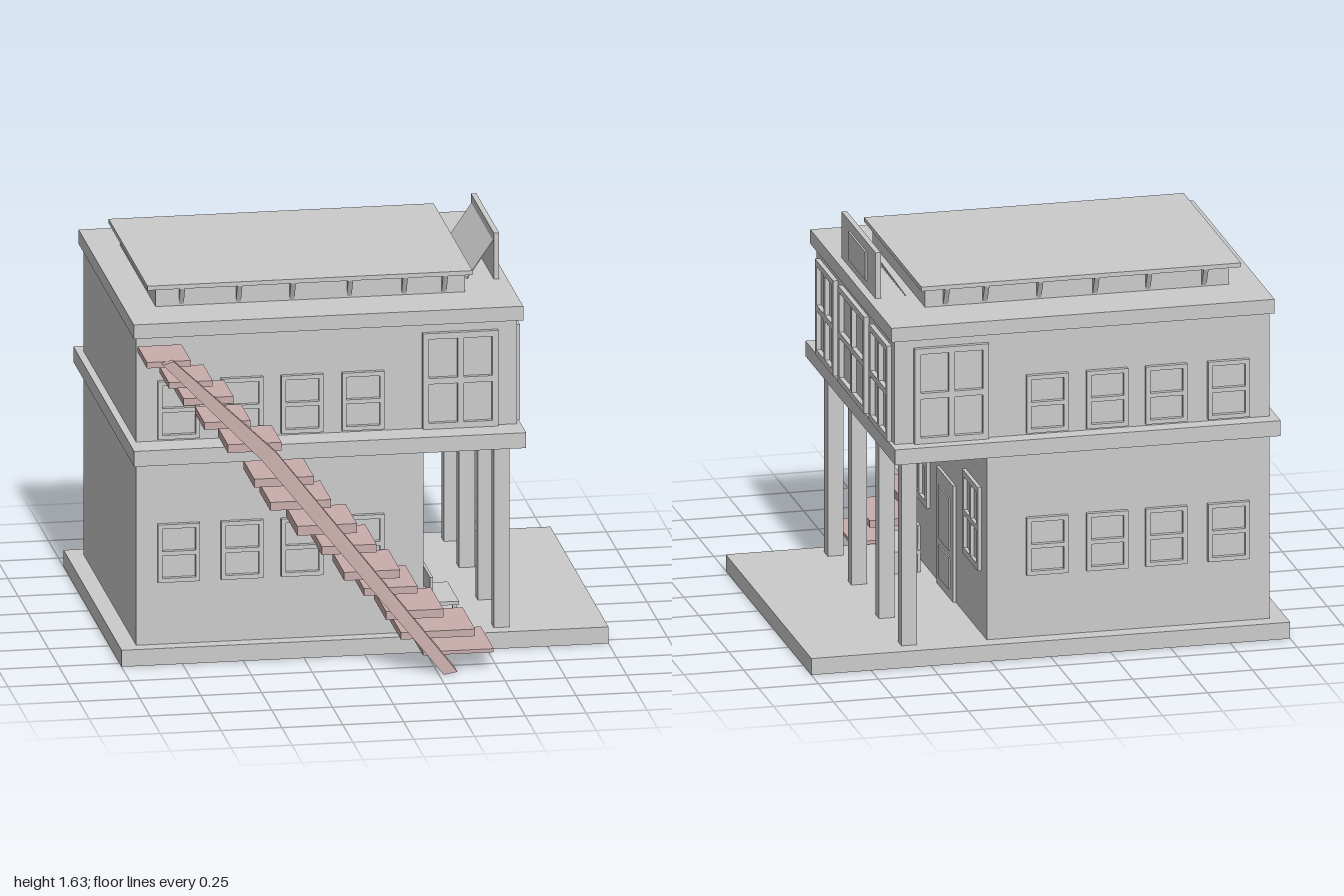
import * as THREE from 'three';

const grey = new THREE.MeshStandardMaterial({ color: 0xcccccc, flatShading: true });
const thin = new THREE.MeshStandardMaterial({ color: 0xcccccc, flatShading: true, side: THREE.DoubleSide });
const wood = new THREE.MeshStandardMaterial({ color: 0xc9aeac, flatShading: true });

// Box given by its extents on each axis
function box(parent, name, x0, x1, y0, y1, z0, z1, material = grey) {
  const mesh = new THREE.Mesh(new THREE.BoxGeometry(x1 - x0, y1 - y0, z1 - z0), material);
  mesh.position.set((x0 + x1) / 2, (y0 + y1) / 2, (z0 + z1) / 2);
  mesh.name = name;
  parent.add(mesh);
  return mesh;
}

function rect(path, x0, x1, y0, y1) {
  return path.moveTo(x0, y0).lineTo(x1, y0).lineTo(x1, y1).lineTo(x0, y1).closePath();
}

// Flat frame with a grid of openings, lower edge centred on the origin, facing +z
function frame(name, w, h, cols, rows, border = 0.025, bar = 0.025, depth = 0.02) {
  const shape = rect(new THREE.Shape(), -w / 2, w / 2, 0, h);
  const pw = (w - 2 * border - (cols - 1) * bar) / cols;
  const ph = (h - 2 * border - (rows - 1) * bar) / rows;
  for (let i = 0; i < cols; i++) {
    for (let j = 0; j < rows; j++) {
      const x = -w / 2 + border + i * (pw + bar), y = border + j * (ph + bar);
      shape.holes.push(rect(new THREE.Path(), x, x + pw, y, y + ph));
    }
  }
  const mesh = new THREE.Mesh(new THREE.ExtrudeGeometry(shape, { depth, bevelEnabled: false }), grey);
  mesh.name = name;
  return mesh;
}

// Loft a closed skin through four-cornered sections
function loft(sections) {
  const index = [];
  for (let s = 0; s < sections.length - 1; s++) {
    for (let k = 0; k < 4; k++) {
      const a = s * 4 + k, b = s * 4 + (k + 1) % 4;
      index.push(a, b, b + 4, a, b + 4, a + 4);
    }
  }
  const e = (sections.length - 1) * 4;
  index.push(0, 2, 1, 0, 3, 2, e, e + 1, e + 2, e, e + 2, e + 3);
  const geometry = new THREE.BufferGeometry();
  geometry.setAttribute('position', new THREE.Float32BufferAttribute(sections.flat(2), 3));
  geometry.setIndex(index);
  const flat = geometry.toNonIndexed();
  flat.computeVertexNormals();
  return flat;
}

function addBuilding(g) {
  box(g, 'base', -1, 1, 0, 0.07, -0.88, 0.55);
  box(g, 'groundFloor', -0.93, 0.25, 0.07, 0.87, -0.81, 0.49);
  box(g, 'floorSlab', -0.96, 0.65, 0.865, 0.93, -0.88, 0.62);
  box(g, 'upperFloor', -0.93, 0.635, 0.93, 1.38, -0.81, 0.49);
  box(g, 'cornice', -0.945, 0.655, 1.375, 1.435, -0.84, 0.52);
  for (const z of [0.455, 0.06, -0.4, -0.775]) {
    box(g, 'porchColumn', 0.54, 0.605, 0.07, 0.87, z - 0.03, z + 0.03);
  }
}

function addWindows(g) {
  // Long sides, mirrored front and back
  for (const side of [1, -1]) {
    const place = (mesh, x, y) => {
      mesh.position.set(x, y, side > 0 ? 0.49 : -0.81);
      mesh.rotation.y = side > 0 ? 0 : Math.PI;
      g.add(mesh);
    };
    for (const x of [-0.757, -0.497, -0.25, 0]) {
      place(frame('smallWindow', 0.173, 0.245, 1, 2, 0.018, 0.018), x, 0.335);
      place(frame('smallWindow', 0.173, 0.245, 1, 2, 0.018, 0.018), x, 0.94);
    }
    place(frame('largeWindow', 0.31, 0.405, 2, 2), 0.4, 0.93);
  }
  // Porch side
  const placeRight = (mesh, x, y, z) => {
    mesh.position.set(x, y, z);
    mesh.rotation.y = Math.PI / 2;
    g.add(mesh);
  };
  placeRight(frame('largeWindow', 0.305, 0.405, 2, 2), 0.635, 0.93, 0.288);
  placeRight(frame('centreWindow', 0.44, 0.41, 2, 2), 0.635, 0.93, -0.16);
  placeRight(frame('largeWindow', 0.305, 0.405, 2, 2), 0.635, 0.93, -0.61);
  for (const z of [0.273, -0.588]) {
    placeRight(frame('porchWindow', 0.265, 0.355, 2, 2, 0.027, 0.022, 0.015), 0.25, 0.335, z);
  }
}

function addDoor(g) {
  const door = new THREE.Group();
  door.name = 'door';
  box(door, 'doorSlab', 0.25, 0.262, 0.07, 0.565, -0.295, -0.015);
  box(door, 'upperDoorPanel', 0.26, 0.268, 0.275, 0.5, -0.24, -0.07);
  box(door, 'lowerDoorPanel', 0.26, 0.268, 0.11, 0.245, -0.24, -0.07);
  g.add(door);
}

function addBench(g) {
  const bench = new THREE.Group();
  bench.name = 'bench';
  box(bench, 'benchSeat', 0.29, 0.41, 0.15, 0.165, 0.125, 0.405);
  box(bench, 'benchBack', 0.292, 0.304, 0.19, 0.27, 0.125, 0.405);
  for (const z of [0.13, 0.386]) {
    box(bench, 'benchRearLeg', 0.292, 0.304, 0.07, 0.27, z, z + 0.013);
    box(bench, 'benchFrontLeg', 0.385, 0.4, 0.07, 0.152, z, z + 0.013);
  }
  g.add(bench);
}

function addRoof(g) {
  box(g, 'roofBox', -0.815, 0.455, 1.43, 1.52, -0.6, 0.28);
  box(g, 'roofTop', -0.855, 0.48, 1.517, 1.535, -0.64, 0.32);
  // Triangular brackets under the roof edge
  const tri = new THREE.Shape().moveTo(0, 1.44).lineTo(0.038, 1.52).lineTo(0, 1.52).closePath();
  const geometry = new THREE.ExtrudeGeometry(tri, { depth: 0.02, bevelEnabled: false });
  for (const x of [-0.71, -0.475, -0.255, -0.02, 0.205, 0.37]) {
    for (const side of [1, -1]) {
      const bracket = new THREE.Mesh(geometry, grey);
      bracket.name = 'roofBracket';
      bracket.rotation.y = -side * Math.PI / 2;
      bracket.position.set(x + side * 0.01, 0, side > 0 ? 0.28 : -0.6);
      g.add(bracket);
    }
  }
  // Signboard with a plain raised panel and a sloping rear brace
  box(g, 'signBoard', 0.6, 0.622, 1.435, 1.63, -0.44, 0.125);
  box(g, 'signPanel', 0.62, 0.63, 1.47, 1.59, -0.3, -0.012);
  const dx = 0.11, dy = 0.16;
  const brace = new THREE.Mesh(new THREE.BoxGeometry(Math.hypot(dx, dy), 0.004, 0.53), thin);
  brace.name = 'signBrace';
  brace.position.set(0.548, 1.514, -0.165);
  brace.rotation.z = Math.atan2(dy, dx);
  g.add(brace);
}

function addStairs(g) {
  const stairs = new THREE.Group();
  stairs.name = 'outsideStairs';
  // Each tread: x from, x to, bottom, top, outer z
  const treads = [
    [0.19, 0.48, 0.075, 0.09, 0.84], [0.1, 0.405, 0.145, 0.175, 0.835],
    [0.04, 0.275, 0.23, 0.265, 0.83], [-0.05, 0.17, 0.335, 0.365, 0.825],
    [-0.13, 0.1, 0.4, 0.435, 0.815], [-0.22, 0.005, 0.51, 0.545, 0.805],
    [-0.32, -0.075, 0.595, 0.635, 0.8], [-0.43, -0.18, 0.705, 0.74, 0.795],
    [-0.495, -0.25, 0.805, 0.84, 0.79], [-0.6, -0.38, 0.95, 0.985, 0.77],
    [-0.695, -0.505, 1.05, 1.08, 0.76], [-0.78, -0.575, 1.155, 1.185, 0.757],
    [-0.84, -0.66, 1.23, 1.255, 0.755], [-0.93, -0.75, 1.32, 1.345, 0.755],
  ];
  for (const [x0, x1, y0, y1, z] of treads) box(stairs, 'tread', x0, x1, y0, y1, 0.525, z, wood);
  // Tapering stringer with a slight bend
  const section = (x0, x1, y0, y1, z0, z1) => [[x0, y0, z0], [x0, y0, z1], [x1, y1, z1], [x1, y1, z0]];
  const stringer = new THREE.Mesh(loft([
    section(0.27, 0.325, 0, 0.01, 0.78, 0.875),
    section(-0.465, -0.405, 0.92, 0.95, 0.76, 0.802),
    section(-0.87, -0.825, 1.34, 1.352, 0.755, 0.785),
  ]), wood);
  stringer.name = 'stringer';
  stringer.material = wood.clone();
  stringer.material.side = THREE.DoubleSide;
  stairs.add(stringer);
  g.add(stairs);
}

export function createModel() {
  const g = new THREE.Group();
  g.name = 'frontierBuilding';
  for (const add of [addBuilding, addWindows, addDoor, addBench, addRoof, addStairs]) add(g);
  return g;
}
